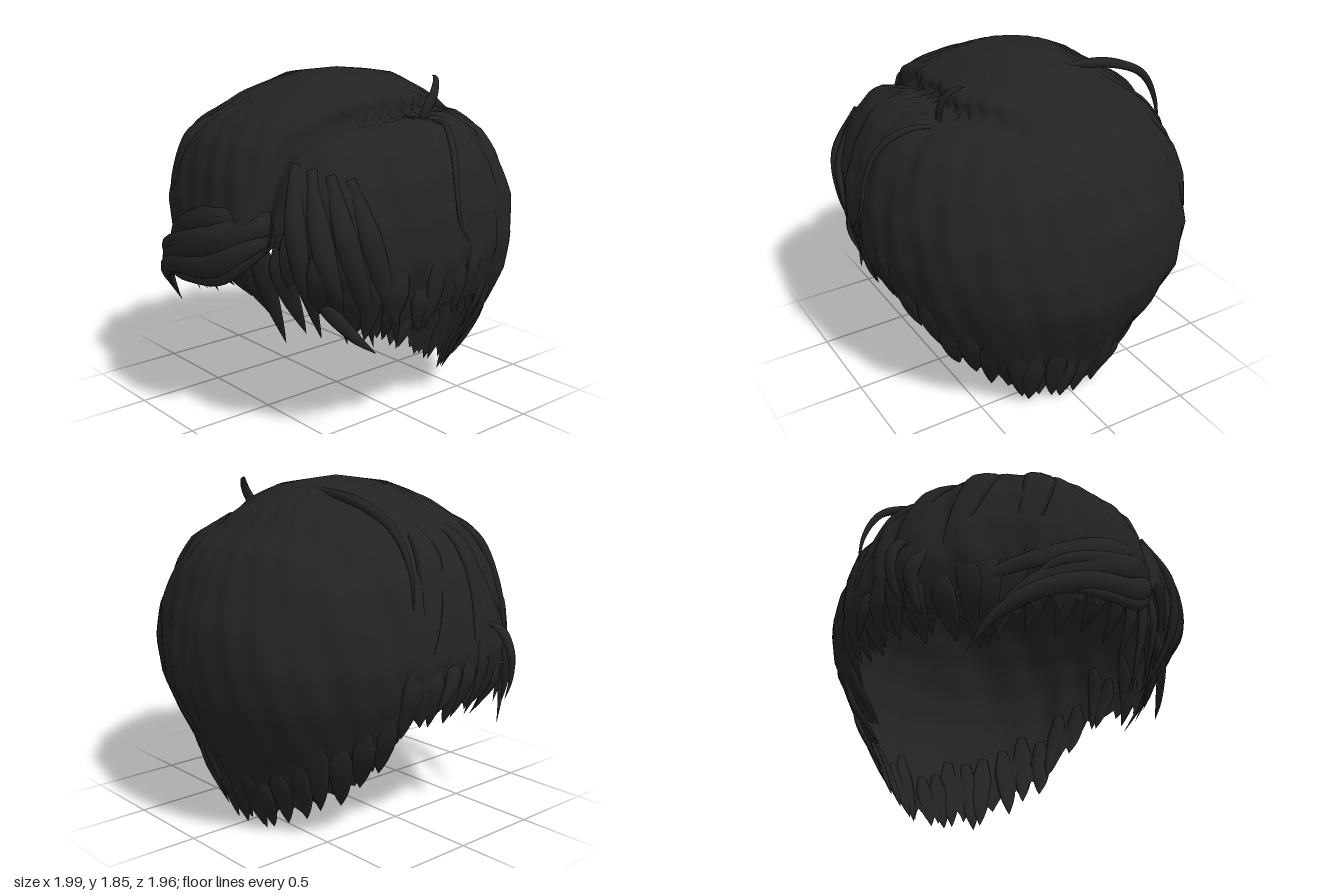
import * as THREE from 'three';

const hair = new THREE.MeshStandardMaterial({ color: 0x232323, side: THREE.DoubleSide });
hair.name = 'black hair';

let seed = 7;
const rnd = () => (seed = (seed * 16807) % 2147483647) / 2147483647;
const { lerp, smoothstep, degToRad } = THREE.MathUtils;

// Linear lookup in rows sorted by their first number
function lookup(rows, v, col) {
  let i = 1;
  while (i < rows.length - 1 && rows[i][0] < v) i++;
  const [a, b] = [rows[i - 1], rows[i]];
  return lerp(a[col], b[col], THREE.MathUtils.clamp((v - a[0]) / (b[0] - a[0]), 0, 1));
}

// Height, reach to +x, -x, +z, -z
const LEVELS = [
  [0, .45, .45, .4, .64], [.2, .55, .56, .45, .71], [.4, .68, .67, .55, .79],
  [.6, .79, .78, .68, .89], [.8, .87, .87, .8, .97], [1, .91, .91, .87, .98],
  [1.2, .9, .88, .89, .95], [1.4, .83, .81, .85, .87], [1.55, .74, .7, .79, .76],
  [1.65, .58, .59, .68, .63], [1.75, .42, .45, .5, .5], [1.84, .22, .28, .28, .33], [1.88, 0, 0, 0, 0],
];
// Azimuth in degrees (0 front, 90 at +x), hem height
const HEM = [
  [-180, .05], [-150, .15], [-130, .29], [-115, .45], [-105, .68], [-90, .72], [-60, .68], [-45, .66],
  [-30, .76], [-15, .82], [0, .88], [20, 1.02], [31, 1.12], [40, .88], [55, .65], [70, .64], [90, .7],
  [97, .77], [105, .7], [115, .45], [130, .28], [150, .15], [180, .05],
];
const hemAt = (deg) => lookup(HEM, deg, 1);

// Point on the outer hair surface, with parting groove, side lobe and strand waves
function surface(deg, y, lift = 0) {
  const a = degToRad(deg), s = Math.sin(a), c = Math.cos(a);
  const X = lookup(LEVELS, y, s > 0 ? 1 : 2) + 1e-5;
  const Z = lookup(LEVELS, y, c > 0 ? 3 : 4) + 1e-5;
  let r = Math.pow(Math.pow(Math.abs(s) / X, 2.25) + Math.pow(Math.abs(c) / Z, 2.25), -1 / 2.25);
  const x = r * s, z = r * c;
  const bump = (v, mid, w) => Math.exp(-(((v - mid) / w) ** 2));
  const part = z > -.2 ? .5 - .16 * Math.max(0, z - .2) : .5 + (z + .2) * .6;
  const groove = .09 * bump(x, part, .045) * smoothstep(y, 1.0, 1.2) * smoothstep(z, -.75, -.2);
  const lobe = .06 * bump(deg, 47, 13) * smoothstep(y, .7, 1) * (1 - smoothstep(y, 1.3, 1.6));
  const sidePuff = .05 * bump(deg, -62, 14) * bump(y, .95, .25);
  const waves = (.010 * Math.sin(z * 22 + x * 5 + y * 4) + .006 * Math.sin(deg * .55 + y * 9)) * smoothstep(r, .1, .5);
  r += lobe + sidePuff + waves + lift - groove;
  return new THREE.Vector3(r * s, y - groove * .5 * smoothstep(y, 1.4, 1.7), r * c);
}

function gridGeometry(cols, rows, wrap, pointAt) {
  const pos = [], idx = [];
  for (let i = 0; i < cols; i++) for (let j = 0; j <= rows; j++) pos.push(...pointAt(i, j / rows).toArray());
  for (let i = 0; i < (wrap ? cols : cols - 1); i++) for (let j = 0; j < rows; j++) {
    const a = i * (rows + 1) + j, b = ((i + 1) % cols) * (rows + 1) + j;
    idx.push(a, a + 1, b, b, a + 1, b + 1);
  }
  const g = new THREE.BufferGeometry();
  g.setAttribute('position', new THREE.Float32BufferAttribute(pos, 3));
  g.setIndex(idx);
  g.computeVertexNormals();
  return g;
}

// Main mass of hair with a jagged hem
function shell() {
  const N = 240, jag = [];
  for (let i = 0; i < N; i += 5) {
    const d = .05 + rnd() * .05;
    [0, .3, .65, 1, .4].forEach((k) => jag.push(k * d));
  }
  return gridGeometry(N, 40, true, (i, t) => {
    const deg = -180 + (360 * i) / N;
    const low = Math.max(0, hemAt(deg) + .05 - jag[i]);
    return surface(deg, lerp(1.88, low, Math.pow(t, 1.6)));
  });
}

// Tapered lock lying flat on the head: w along the surface, d outward
function lock(points, w, d, steps = 24) {
  const curve = new THREE.CatmullRomCurve3(points.map((p) => (p.isVector3 ? p : new THREE.Vector3(...p))));
  const mid = new THREE.Vector3(0, .95, 0), sides = 8;
  const frames = [];
  for (let j = 0; j <= steps; j++) {
    const t = j / steps, p = curve.getPoint(t), T = curve.getTangent(t);
    const n = p.clone().sub(mid);
    n.addScaledVector(T, -n.dot(T)).normalize();
    const f = Math.min(1, .4 + 2.2 * t) * (1 - Math.pow(t, 2.5));
    frames.push({ p, n, side: T.cross(n), f });
  }
  return gridGeometry(sides, steps, true, (i, t) => {
    const { p, n, side, f } = frames[Math.round(t * steps)], a = (-i / sides) * Math.PI * 2;
    return p.clone().addScaledVector(side, Math.cos(a) * w * f).addScaledVector(n, Math.sin(a) * d * f);
  });
}

export function createModel() {
  const model = new THREE.Group();
  model.name = 'hair';
  const add = (parent, name, geometry) => {
    const m = new THREE.Mesh(geometry, hair);
    m.name = name;
    parent.add(m);
  };
  const group = (name) => {
    const g = new THREE.Group();
    g.name = name;
    model.add(g);
    return g;
  };
  add(model, 'mainHair', shell());

  // Swept fringe, from the parting across the forehead
  const fringe = group('fringe');
  [
    [[[.44, 1.22, .68], [.25, 1.2, .83], [0, 1.17, .88], [-.3, 1.06, .84], [-.58, .92, .7], [-.8, .74, .42]], .08, .04],
    [[[.44, 1.19, .7], [.3, 1.17, .82], [.1, 1.08, .91], [-.15, 1, .92], [-.4, .88, .86], [-.58, .7, .74], [-.6, .58, .68]], .09, .05],
    [[[.42, 1.16, .7], [.3, 1.07, .84], [.1, .95, .92], [-.2, .9, .92], [-.45, .8, .85], [-.62, .66, .72], [-.7, .49, .6]], .075, .045],
    [[[.42, 1.14, .7], [.32, 1.02, .82], [.15, .89, .9], [-.1, .85, .93], [-.35, .82, .88], [-.55, .68, .78]], .04, .03],
    [[[.44, 1.2, .68], [.2, 1.12, .89], [-.1, 1.05, .93], [-.35, .97, .9], [-.5, .84, .82]], .06, .04],
  ].forEach(([p, w, d]) => add(fringe, 'fringeLock', lock(p, w, d, 32)));

  // Pointed bangs behind the fringe
  const bangs = group('innerBangs');
  [[-.5, .6], [-.36, .68], [-.2, .68], [-.03, .76], [.12, .74], [.24, .68], [.35, .54], [.47, .62]].forEach(([x, y]) => {
    const z = .82 - .35 * x * x;
    add(bangs, 'innerBang', lock([[x * .95, 1.1, z], [x, .9, z - .02], [x * 1.02, y, z - .14]], .075, .02, 10));
  });

  // Layered tips around the hem
  const tips = group('hemTips');
  for (let deg = -178; deg < 180; deg += 8) {
    if (deg > -38 && deg < 36) continue;
    const low = Math.max(.03, hemAt(deg) - .04 - rnd() * .05), len = .3 + rnd() * .2, lean = (rnd() - .5) * 8;
    const path = [1, .6, .25, 0].map((k) => surface(deg + lean * (1 - k), low + len * k, k === 1 ? -.02 : .005));
    add(tips, 'hemTip', lock(path, .065, .018, 12));
  }

  // Front edge of the side lobe, curving down to its points
  const lobe = group('sideLobe');
  [0, 1, 2, 3].forEach((k) => {
    const path = [1.5, 1.25, 1, .8, .58].map((y, i) => surface(36 + k * 6 + i * (2 + k), y - k * .02, .005));
    add(lobe, 'sideLobeLock', lock(path, .06, .03));
  });

  // Low strands combed from the parting over the crown and down the far side
  const combed = group('combedLocks');
  [-20, -42, -64, -88].forEach((deg, k) => {
    const path = [1.7, 1.55, 1.35, 1.12, .92].map((y, i) => surface(deg - i * 4, y, i === 0 ? -.03 : -.005));
    add(combed, 'combedLock', lock(path, .09, .022 + .004 * (k % 2)));
  });

  // Loose strands standing off the head
  const loose = group('looseStrands');
  [
    [[[-.12, 1.83, -.27], [-.32, 1.81, -.26], [-.52, 1.76, -.25], [-.7, 1.66, -.24], [-.81, 1.47, -.23], [-.84, 1.22, -.23]], .03, .03],
    [[[.5, 1.55, -.13], [.525, 1.68, -.17], [.53, 1.77, -.22], [.49, 1.84, -.27], [.44, 1.85, -.29]], .03, .02],
    [[[.5, 1.62, -.2], [.68, 1.63, -.15], [.82, 1.52, -.07], [.89, 1.34, -.03], [.93, 1.16, -.03], [.99, 1.08, -.04]], .022, .016],
    [[[-.82, 1.15, .3], [-.92, 1.12, .33], [-.98, 1, .35], [-.97, .85, .37], [-.91, .72, .4]], .045, .022],
    [[[-.84, 1.05, .45], [-.9, .95, .42], [-.89, .82, .42], [-.85, .69, .45]], .05, .03],
    [[[-.84, 1.05, .05], [-.9, .92, 0], [-.9, .82, -.05], [-.88, .74, -.1]], .06, .025],
    [[[.5, 1.15, .6], [.62, .85, .62], [.72, .65, .5], [.78, .55, .4]], .05, .03],
  ].forEach(([p, w, d]) => add(loose, 'looseStrand', lock(p, w, d, 28)));

  return model;
}
